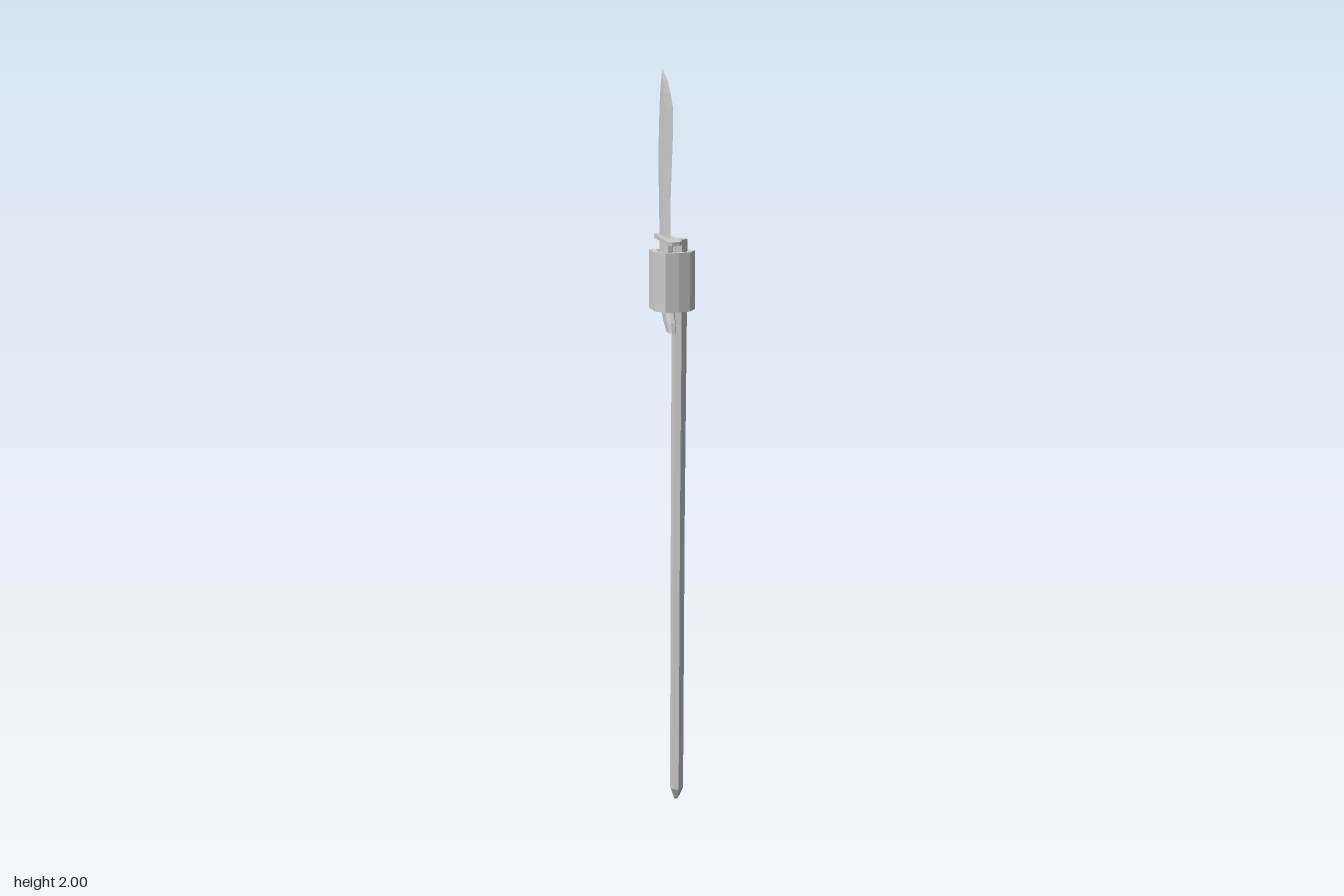
import * as THREE from 'three';

const material = new THREE.MeshStandardMaterial({ color: 0xcccccc, flatShading: true, side: THREE.DoubleSide });

function addMesh(group, name, geometry) {
  const mesh = new THREE.Mesh(geometry, material);
  mesh.name = name;
  group.add(mesh);
  return mesh;
}

// Joins rings of [x, y, z] points (counterclockwise from above, bottom to top) and caps both ends.
function loft(rings) {
  const n = rings[0].length, last = (rings.length - 1) * n, index = [];
  for (let i = 0; i < rings.length - 1; i++) {
    for (let j = 0; j < n; j++) {
      const a = i * n + j, b = i * n + (j + 1) % n;
      index.push(a, b, b + n, a, b + n, a + n);
    }
  }
  for (let j = 1; j < n - 1; j++) index.push(0, j + 1, j, last, last + j, last + j + 1);
  const geometry = new THREE.BufferGeometry();
  geometry.setAttribute('position', new THREE.Float32BufferAttribute(rings.flat(2), 3));
  geometry.setIndex(index);
  const flat = geometry.toNonIndexed();
  flat.computeVertexNormals();
  return flat;
}

// Horizontal [x, z] outline raised to a given height.
function slab(outline, height, hole) {
  const toPoints = (list) => list.map(([x, z]) => new THREE.Vector2(x, -z));
  const shape = new THREE.Shape(toPoints(outline));
  if (hole) shape.holes.push(new THREE.Path(toPoints(hole)));
  return new THREE.ExtrudeGeometry(shape, { depth: height, bevelEnabled: false }).rotateX(-Math.PI / 2);
}

export function createModel() {
  const group = new THREE.Group();
  group.name = 'spear';

  // Slightly leaning six-sided pole with a whittled foot: y, centre x, centre z, radius
  const pole = [
    [0, 0.005, -0.014, 0.005], [0.012, 0.005, -0.011, 0.01], [0.042, 0.004, -0.004, 0.019],
    [0.85, 0.008, -0.006, 0.019], [1.4, 0.013, -0.01, 0.02], [1.59, 0.014, -0.011, 0.02],
  ];
  addMesh(group, 'pole', loft(pole.map(([y, cx, cz, r]) =>
    Array.from({ length: 6 }, (_, i) => {
      const a = Math.PI / 6 + i * Math.PI / 3;
      return [cx + r * Math.cos(a), y, cz - r * Math.sin(a)];
    }))));

  // Knife blade with a thick spine and a sharp front edge: y, spine z, edge z, half thickness
  const blade = [
    [1.59, -0.053, 0.027, 0.006], [1.69, -0.057, 0.027, 0.006], [1.77, -0.06, 0.036, 0.006],
    [1.85, -0.058, 0.046, 0.005], [1.915, -0.053, 0.045, 0.004], [1.945, -0.048, 0.028, 0.004],
    [1.975, -0.042, 0.004, 0.003], [1.99, -0.038, -0.018, 0.002], [2, -0.036, -0.034, 0.001],
  ];
  addMesh(group, 'blade', loft(blade.map(([y, back, edge, t]) => {
    const x = -0.022, mid = back + (edge - back) * 0.5;
    return [[x, y, edge], [x + t, y, mid], [x + t * 0.6, y, back], [x - t * 0.6, y, back], [x - t, y, mid]];
  })));

  // Knife handle curving forward to its butt: y, back z, front z, half width
  const handle = [
    [1.36, 0.005, 0.05, 0.009], [1.385, -0.018, 0.043, 0.011], [1.41, -0.03, 0.028, 0.012],
    [1.5, -0.038, 0.02, 0.013], [1.59, -0.042, 0.02, 0.012],
  ];
  addMesh(group, 'handle', loft(handle.map(([y, back, front, w]) => {
    const x = -0.021, c = (front - back) * 0.22;
    return [
      [x + w * 0.5, y, front], [x + w, y, front - c], [x + w, y, back + c], [x + w * 0.5, y, back],
      [x - w * 0.5, y, back], [x - w, y, back + c], [x - w, y, front - c], [x - w * 0.5, y, front],
    ];
  })));

  // Guard plate with clipped corners, dipping toward the edge side
  const w = 0.018, l = 0.065, c = 0.008;
  const guard = addMesh(group, 'guard', slab([
    [w - c, l], [w, l - c], [w, c - l], [w - c, -l], [c - w, -l], [-w, c - l], [-w, l - c], [c - w, l],
  ], 0.01));
  guard.position.set(-0.021, 1.586, 0);
  guard.rotation.x = 0.06;

  // Hollow binding that straps the knife to the pole
  const binding = addMesh(group, 'binding', slab(
    [[-0.052, -0.06], [0.018, -0.06], [0.053, -0.003], [0.03, 0.027], [0, 0.031], [-0.036, 0.027], [-0.055, -0.002]],
    0.15,
    [[-0.037, -0.045], [0.01, -0.045], [0.036, -0.003], [0.022, 0.014], [0, 0.018], [-0.03, 0.015], [-0.04, -0.003]],
  ));
  binding.position.y = 1.41;

  return group;
}
